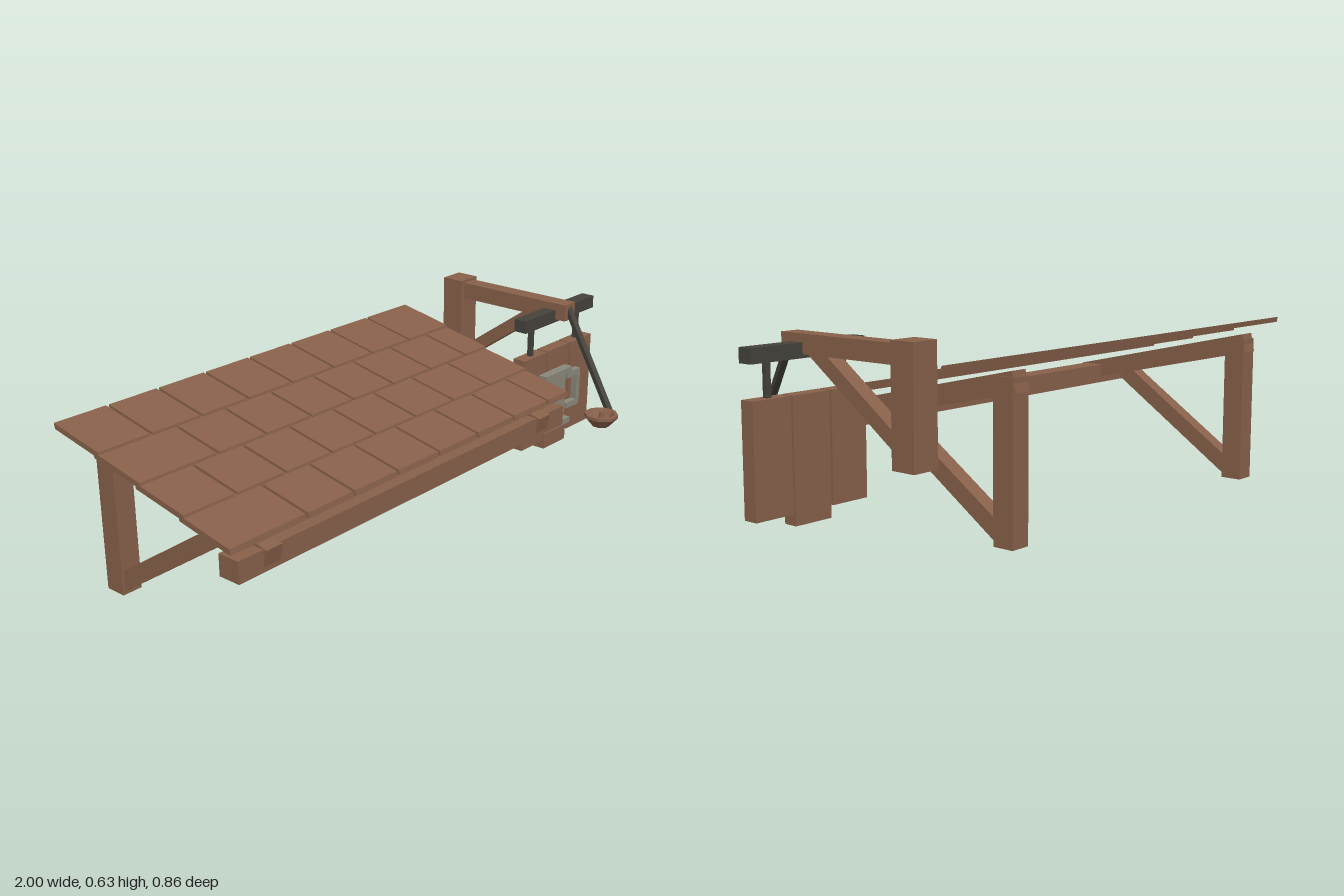
import * as THREE from 'three';

export function createModel() {
  const model = new THREE.Group();
  model.name = 'awningAndHangingSign';
  const wood = new THREE.MeshStandardMaterial({ color: 0x87604a });
  wood.name = 'wood';
  const iron = new THREE.MeshStandardMaterial({ color: 0x45423c });
  iron.name = 'dark iron';
  const pewter = new THREE.MeshStandardMaterial({ color: 0x8a877a });
  pewter.name = 'pewter';

  const add = (parent, name, geometry, material) => {
    const mesh = new THREE.Mesh(geometry, material);
    mesh.name = name;
    parent.add(mesh);
    return mesh;
  };
  const group = (name) => {
    const g = new THREE.Group();
    g.name = name;
    model.add(g);
    return g;
  };
  // Box given by its limits on each axis
  const block = (parent, name, material, [x0, x1], [y0, y1], [z0, z1]) =>
    add(parent, name, new THREE.BoxGeometry(x1 - x0, y1 - y0, z1 - z0), material)
      .position.set((x0 + x1) / 2, (y0 + y1) / 2, (z0 + z1) / 2);
  // Side outline of [z, y] points, extruded across x
  const prism = (parent, name, material, [x0, x1], outline) => {
    const shape = new THREE.Shape(outline.map(([z, y]) => new THREE.Vector2(z, y)));
    const geometry = new THREE.ExtrudeGeometry(shape, { depth: x1 - x0, bevelEnabled: false });
    geometry.rotateY(-Math.PI / 2);
    add(parent, name, geometry, material).position.x = x1;
  };
  // Square rod between two points
  const rod = (parent, name, material, a, b, size) => {
    const from = new THREE.Vector3(...a), to = new THREE.Vector3(...b);
    const mesh = add(parent, name, new THREE.BoxGeometry(size, size, from.distanceTo(to)), material);
    mesh.position.copy(from).lerp(to, 0.5);
    mesh.lookAt(to);
  };

  // Awning frame: front beam and two braced posts
  const frame = group('awningFrame');
  block(frame, 'frontBeam', wood, [-0.975, 0.52], [0.292, 0.36], [0.21, 0.285]);
  for (const x of [-0.853, 0.395]) {
    block(frame, 'post', wood, [x - 0.035, x + 0.035], [0, 0.5], [-0.408, -0.335]);
    prism(frame, 'rafter', wood, [x - 0.03, x + 0.03],
      [[0.283, 0.298], [0.297, 0.36], [-0.4, 0.518], [-0.414, 0.455]]);
    prism(frame, 'brace', wood, [x - 0.026, x + 0.026],
      [[-0.34, 0.008], [0.125, 0.322], [0.085, 0.362], [-0.34, 0.077]]);
  }

  // Four overlapping rows of roof boards with staggered gaps
  const roof = group('roof');
  const slope = 0.194, thick = 0.018, gap = 0.005;
  for (let row = 0; row < 4; row++) {
    const front = 0.285 - row * 0.175, back = front - 0.195;
    const y0 = 0.387 + row * (0.175 * slope + 0.008), y1 = y0 + 0.195 * slope;
    const first = row % 2 ? -0.81 : -0.715;
    const edges = [-1 - gap];
    for (let i = 0; i < 7; i++) edges.push(first + i * 0.1905);
    edges.push(0.545 + gap);
    for (let i = 0; i < 8; i++) {
      prism(roof, 'roofBoard', wood, [edges[i] + gap, edges[i + 1] - gap],
        [[front, y0], [front - 0.003, y0 + thick], [back - 0.003, y1 + thick], [back, y1]]);
    }
  }

  // Sign bracket
  const bracket = group('signBracket');
  block(bracket, 'bracketPost', wood, [0.74, 0.83], [0.288, 0.635], [-0.412, -0.33]);
  block(bracket, 'bracketArm', wood, [0.756, 0.816], [0.567, 0.625], [-0.335, 0.12]);
  prism(bracket, 'bracketBrace', wood, [0.761, 0.811],
    [[0.018, 0.57], [-0.06, 0.57], [-0.335, 0.376], [-0.335, 0.322]]);

  // Hanging sign: iron bar, hangers and three boards
  const sign = group('hangingSign');
  block(sign, 'signBar', iron, [0.58, 1], [0.556, 0.6], [0.03, 0.079]);
  for (const x of [0.646, 0.926])
    block(sign, 'signHanger', iron, [x - 0.008, x + 0.008], [0.45, 0.56], [0.047, 0.063]);
  block(sign, 'signBoard', wood, [0.58, 0.713], [0.118, 0.455], [0.03, 0.079]);
  block(sign, 'signBoard', wood, [0.721, 0.855], [0.082, 0.455], [0.031, 0.078]);
  block(sign, 'signBoard', wood, [0.863, 0.997], [0.118, 0.455], [0.03, 0.079]);

  // Tankard emblem on the sign
  const tankard = group('tankardEmblem');
  block(tankard, 'tankardBody', pewter, [0.68, 0.822], [0.175, 0.37], [0.078, 0.092]);
  block(tankard, 'tankardRim', pewter, [0.67, 0.832], [0.36, 0.38], [0.078, 0.112]);
  block(tankard, 'tankardBase', pewter, [0.67, 0.832], [0.164, 0.184], [0.078, 0.112]);
  block(tankard, 'handleTop', pewter, [0.822, 0.9], [0.332, 0.354], [0.078, 0.102]);
  block(tankard, 'handleBottom', pewter, [0.822, 0.9], [0.215, 0.237], [0.078, 0.102]);
  block(tankard, 'handleGrip', pewter, [0.88, 0.902], [0.225, 0.344], [0.078, 0.102]);

  // Bowl lamp on a bent iron rod
  const lamp = group('bowlLamp');
  rod(lamp, 'lampRod', iron, [0.786, 0.608, 0.112], [0.704, 0.28, 0.368], 0.019);
  rod(lamp, 'lampRodEnd', iron, [0.712, 0.28, 0.366], [0.62, 0.284, 0.37], 0.017);
  const profile = [[0, 0.28], [0.03, 0.28], [0.058, 0.312], [0.058, 0.323], [0.046, 0.323],
    [0.03, 0.3], [0.009, 0.3], [0.006, 0.33], [0, 0.33]].map(([r, y]) => new THREE.Vector2(r, y));
  const bowl = new THREE.LatheGeometry(profile, 8, Math.PI / 8).toNonIndexed();
  bowl.computeVertexNormals();
  add(lamp, 'lampBowl', bowl, wood).position.set(0.626, 0, 0.371);

  return model;
}
